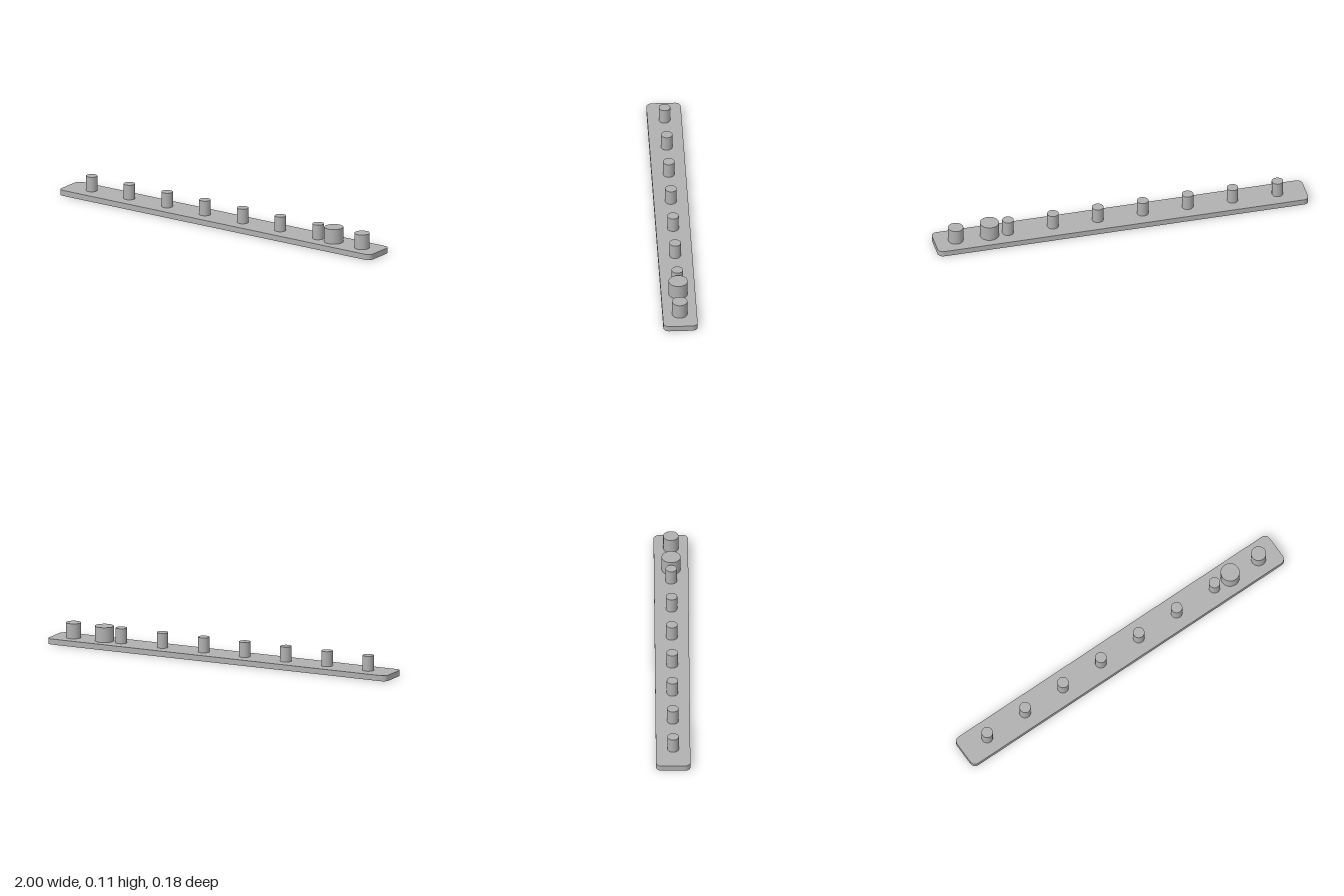
import * as THREE from 'three';
import { toCreasedNormals } from 'three/addons/utils/BufferGeometryUtils.js';

const PLATE_H = 0.03, TOP = 0.11;

// Flat bar outline with rounded corners
function roundedRect(hx, hz, r) {
  const s = new THREE.Shape();
  s.absarc(hx - r, hz - r, r, 0, Math.PI / 2);
  s.absarc(-hx + r, hz - r, r, Math.PI / 2, Math.PI);
  s.absarc(-hx + r, -hz + r, r, Math.PI, Math.PI * 1.5);
  s.absarc(hx - r, -hz + r, r, Math.PI * 1.5, Math.PI * 2);
  return s;
}

export function createModel() {
  const group = new THREE.Group();
  group.name = 'peggedBar';
  const grey = new THREE.MeshStandardMaterial({ color: 0xb0b0b0 });
  grey.name = 'plain grey';

  // Base plate
  const plate = new THREE.ExtrudeGeometry(roundedRect(1, 0.09, 0.03), {
    depth: PLATE_H, bevelEnabled: false, curveSegments: 10,
  });
  plate.rotateX(-Math.PI / 2);
  const base = new THREE.Mesh(toCreasedNormals(plate, Math.PI / 6), grey);
  base.name = 'basePlate';
  group.add(base);

  // Upright pegs standing on the plate
  const addPeg = (name, x, radius) => {
    const h = TOP - PLATE_H;
    const peg = new THREE.Mesh(new THREE.CylinderGeometry(radius, radius, h, 40), grey);
    peg.name = name;
    peg.position.set(x, PLATE_H + h / 2, 0);
    group.add(peg);
  };
  for (let i = 0; i < 7; i++) addPeg(`smallPeg${i + 1}`, -0.85 + i * 0.2425, 0.03);
  addPeg('largePeg', 0.705, 0.05);
  addPeg('endPeg', 0.887, 0.04);

  return group;
}
